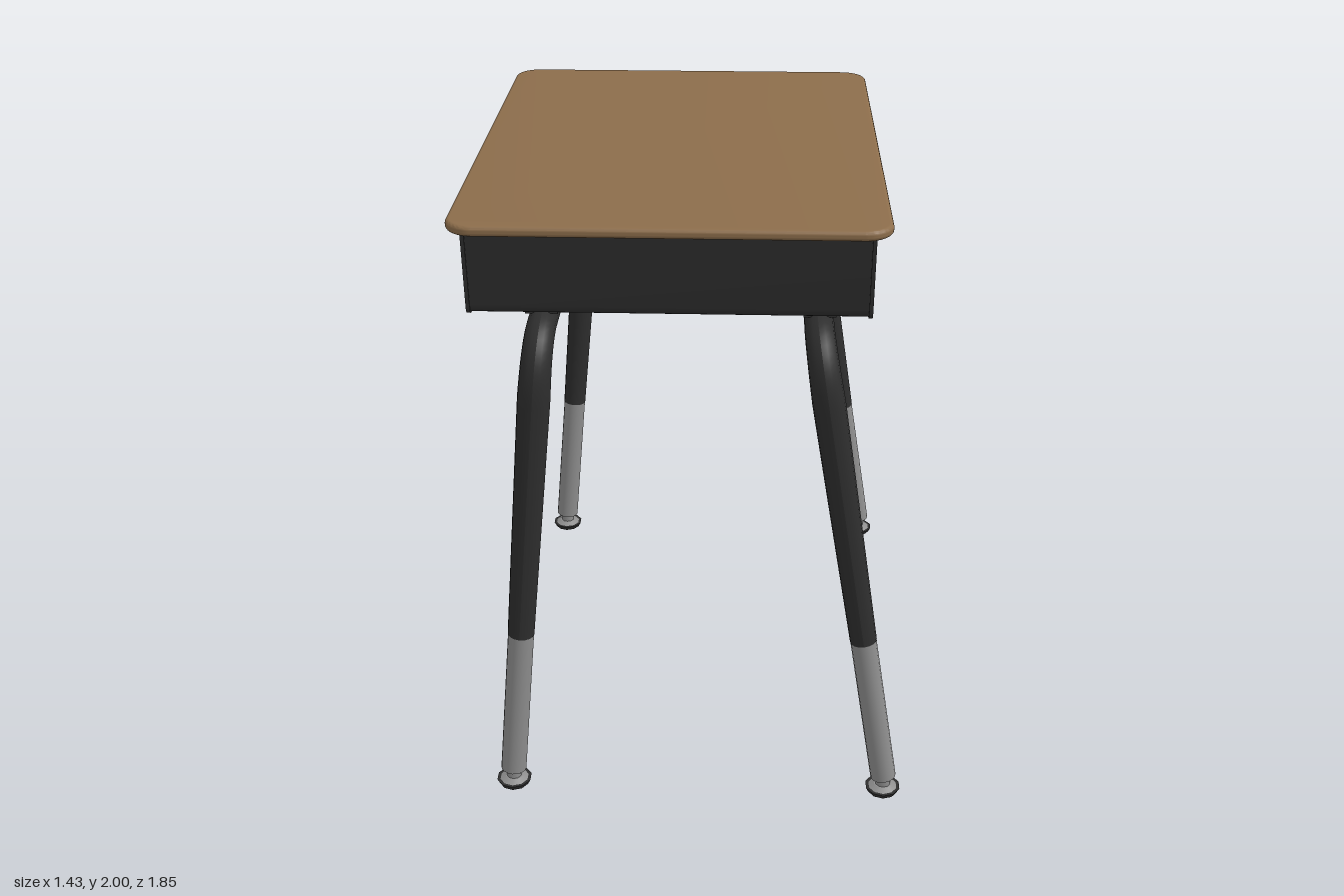
import * as THREE from 'three';
import { toCreasedNormals } from 'three/addons/utils/BufferGeometryUtils.js';

const wood = new THREE.MeshStandardMaterial({ color: 0x8c6d4b });
wood.name = 'wood';
const black = new THREE.MeshStandardMaterial({ color: 0x2e2e2e });
black.name = 'blackSteel';
const grey = new THREE.MeshStandardMaterial({ color: 0x8e8e8e });
grey.name = 'greySteel';

const CZ = -0.008; // the top and box sit slightly off centre

function add(parent, name, geometry, material) {
  const mesh = new THREE.Mesh(geometry, material);
  mesh.name = name;
  parent.add(mesh);
  return mesh;
}

// Rounded rectangle for the desk top
function roundedRect(w, d, r) {
  const s = new THREE.Shape();
  const x = w / 2, y = d / 2;
  s.absarc(x - r, y - r, r, 0, Math.PI / 2);
  s.absarc(-x + r, y - r, r, Math.PI / 2, Math.PI);
  s.absarc(-x + r, -y + r, r, Math.PI, Math.PI * 1.5);
  s.absarc(x - r, -y + r, r, Math.PI * 1.5, Math.PI * 2);
  s.closePath();
  return s;
}

// Tapered box section with rounded lower corners, inset by t
function boxSection(t, Type = THREE.Shape) {
  const s = new Type();
  const top = 0.823 - t, bottom = 0.797 - t, y0 = 1.69 + t, y1 = 1.972 - t, r = 0.03;
  s.moveTo(-top, y1);
  s.lineTo(-bottom - 0.002, y0 + r);
  s.quadraticCurveTo(-bottom, y0, -bottom + r, y0);
  s.lineTo(bottom - r, y0);
  s.quadraticCurveTo(bottom, y0, bottom + 0.002, y0 + r);
  s.lineTo(top, y1);
  s.closePath();
  return s;
}

// Extrude a section along x
function alongX(shape, x0, x1) {
  const g = new THREE.ExtrudeGeometry(shape, { depth: x1 - x0, bevelEnabled: false, curveSegments: 6 });
  g.rotateY(Math.PI / 2);
  g.translate(x0, 0, CZ);
  return toCreasedNormals(g, 0.6);
}

function ring(outer, inner) {
  const s = boxSection(outer);
  s.holes.push(boxSection(inner, THREE.Path));
  return s;
}

// Tube radius: slim at the foot, widest below the bend
function tubeRadius(y) {
  return y < 1.45
    ? THREE.MathUtils.mapLinear(y, 0.6, 1.45, 0.0435, 0.051)
    : THREE.MathUtils.mapLinear(y, 1.45, 1.635, 0.051, 0.046);
}

// One bent tube: leg, bend, cross bar, bend, leg
function frameTube(pointAt) {
  const path = new THREE.CurvePath();
  const p = (y, z) => pointAt(y, z);
  path.add(new THREE.LineCurve3(p(0.6, 0.862), p(1.46, 0.852)));
  path.add(new THREE.CubicBezierCurve3(p(1.46, 0.852), p(1.57, 0.851), p(1.634, 0.81), p(1.635, 0.72)));
  path.add(new THREE.LineCurve3(p(1.635, 0.72), p(1.635, -0.72)));
  path.add(new THREE.CubicBezierCurve3(p(1.635, -0.72), p(1.634, -0.81), p(1.57, -0.851), p(1.46, -0.852)));
  path.add(new THREE.LineCurve3(p(1.46, -0.852), p(0.6, -0.862)));
  const n = 180, sides = 16;
  const g = new THREE.TubeGeometry(path, n, 1, sides, false);
  const pos = g.attributes.position, v = new THREE.Vector3();
  for (let i = 0; i <= n; i++) {
    const c = path.getPointAt(i / n);
    // Pressed dimples under the cross bar
    const k = c.y > 1.6 ? Math.max(0, 1 - (Math.abs(Math.abs(c.z) - 0.37) / 0.08) ** 2) : 0;
    for (let j = 0; j <= sides; j++) {
      const id = i * (sides + 1) + j;
      v.fromBufferAttribute(pos, id).sub(c).multiplyScalar(tubeRadius(c.y)).add(c);
      if (v.y < c.y) v.y += k * 0.35 * (c.y - v.y);
      pos.setXYZ(id, v.x, v.y, v.z);
    }
  }
  g.computeVertexNormals();
  return g;
}

function legFrame(name, xTop, xFoot) {
  const group = new THREE.Group();
  group.name = name;
  const pointAt = (y, z) =>
    new THREE.Vector3(THREE.MathUtils.mapLinear(y, 0.06, 1.635, xFoot, xTop), y, z);
  add(group, 'bentTube', frameTube(pointAt), black);
  add(group, 'mountingPlate', new THREE.BoxGeometry(0.1, 0.022, 1.44), black)
    .position.set(xTop, 1.681, 0);

  for (const side of [1, -1]) {
    // Grey sliding lower leg
    const a = pointAt(0.06, side * 0.866), b = pointAt(0.605, side * 0.862);
    const lower = add(group, 'lowerLeg', new THREE.CylinderGeometry(0.0425, 0.0425, a.distanceTo(b), 16), grey);
    lower.position.copy(a).add(b).multiplyScalar(0.5);
    lower.quaternion.setFromUnitVectors(new THREE.Vector3(0, 1, 0), b.clone().sub(a).normalize());
    // Glide foot
    const foot = new THREE.Group();
    foot.name = 'glideFoot';
    foot.position.set(xFoot, 0, side * 0.866);
    add(foot, 'footPad', new THREE.CylinderGeometry(0.059, 0.05, 0.018, 10), black).position.y = 0.009;
    add(foot, 'footCap', new THREE.CylinderGeometry(0.03, 0.052, 0.012, 10), grey).position.y = 0.022;
    add(foot, 'footStem', new THREE.CylinderGeometry(0.025, 0.025, 0.06, 10), grey).position.y = 0.05;
    group.add(foot);
  }
  return group;
}

export function createModel() {
  const desk = new THREE.Group();
  desk.name = 'schoolDesk';

  // Wooden top with rounded edge
  const bevel = 0.013;
  const topGeo = new THREE.ExtrudeGeometry(roundedRect(1.315 - 2 * bevel, 1.75 - 2 * bevel, 0.075), {
    depth: 0.032 - 2 * bevel, bevelThickness: bevel, bevelSize: bevel, bevelSegments: 4, curveSegments: 8,
  });
  topGeo.rotateX(-Math.PI / 2);
  topGeo.translate(-0.058, 1.968 + bevel, CZ);
  add(desk, 'deskTop', toCreasedNormals(topGeo, 0.6), wood);

  // Open-sided book box
  const box = new THREE.Group();
  box.name = 'bookBox';
  add(box, 'boxShell', alongX(ring(0.004, 0.014), -0.66, 0.54), black);
  add(box, 'boxEndWall', alongX(boxSection(0), -0.67, -0.658), black);
  add(box, 'openingRim', alongX(ring(0, 0.022), 0.538, 0.55), black);
  desk.add(box);

  // Two leg frames
  desk.add(legFrame('openSideLegFrame', 0.395, 0.655));
  desk.add(legFrame('closedSideLegFrame', -0.452, -0.595));
  return desk;
}
